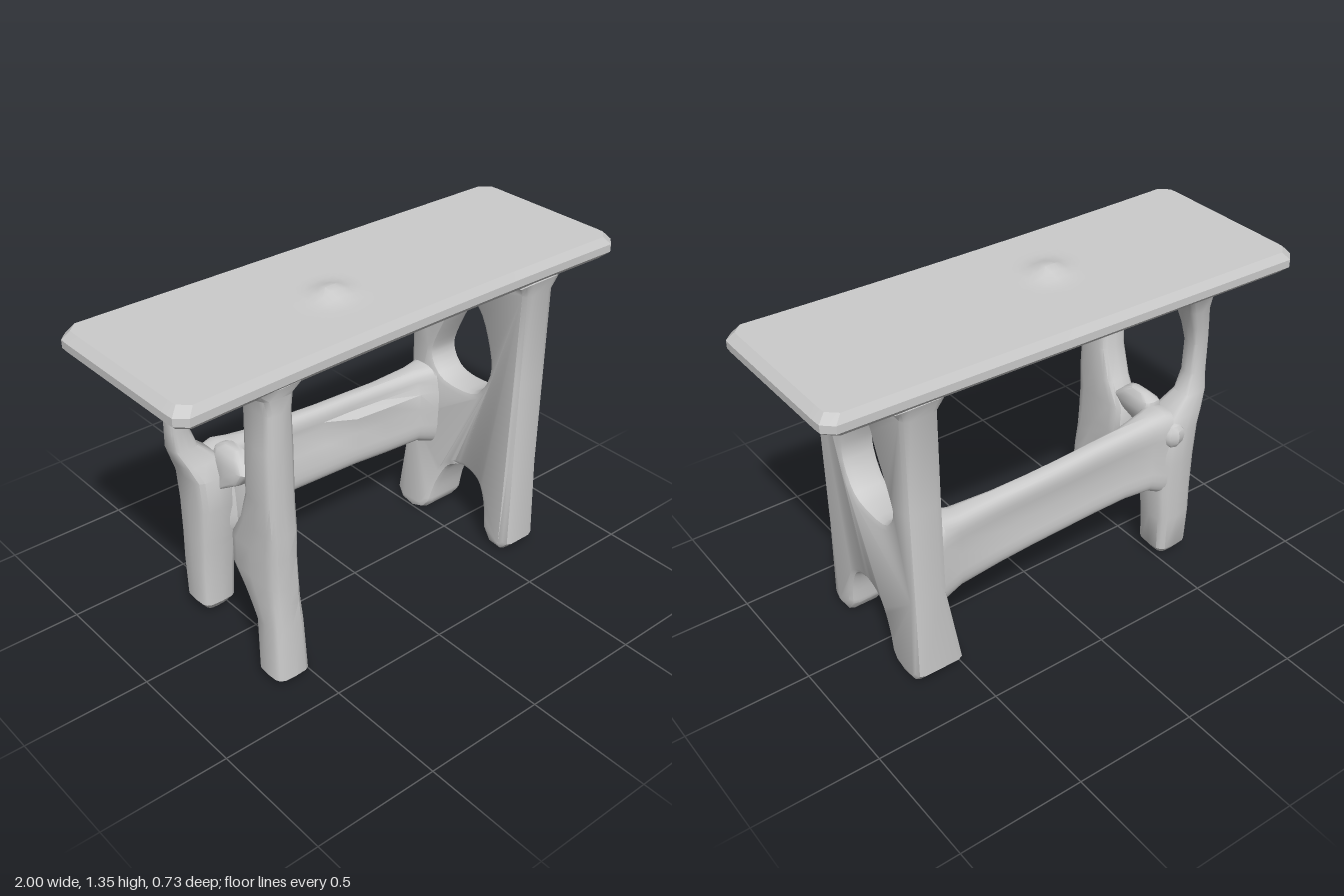
import * as THREE from 'three';
import { toCreasedNormals } from 'three/addons/utils/BufferGeometryUtils.js';

const material = new THREE.MeshStandardMaterial({ color: 0xcccccc, side: THREE.DoubleSide });

function addPart(group, name, geometry, crease = 0.5) {
  const mesh = new THREE.Mesh(toCreasedNormals(geometry, crease), material);
  mesh.name = name;
  group.add(mesh);
}

// Moves every vertex of a geometry by a rule.
function deform(geometry, rule) {
  const p = geometry.attributes.position, v = new THREE.Vector3();
  for (let i = 0; i < p.count; i++) {
    rule(v.fromBufferAttribute(p, i));
    p.setXYZ(i, v.x, v.y, v.z);
  }
  return geometry;
}

// Rounded-rectangle sections [t, aMin, aMax, bMin, bMax] joined along axis t.
// place(a, b, t) returns the world position.
function loft(sections, place, sides = 16) {
  const pos = [], index = [];
  const round = (c) => Math.sign(c) * Math.pow(Math.abs(c), 0.5);
  for (const [t, a0, a1, b0, b1] of sections) {
    for (let i = 0; i < sides; i++) {
      const w = (i / sides) * Math.PI * 2;
      const a = (a0 + a1) / 2 + ((a1 - a0) / 2) * round(Math.cos(w));
      const b = (b0 + b1) / 2 + ((b1 - b0) / 2) * round(Math.sin(w));
      pos.push(...place(a, b, t));
    }
  }
  for (let s = 0; s < sections.length - 1; s++) {
    for (let i = 0; i < sides; i++) {
      const a = s * sides + i, b = s * sides + ((i + 1) % sides);
      index.push(a, b, b + sides, a, b + sides, a + sides);
    }
  }
  const last = (sections.length - 1) * sides;
  for (let i = 1; i < sides - 1; i++) {
    index.push(0, i + 1, i, last, last + i, last + i + 1);
  }
  const g = new THREE.BufferGeometry();
  g.setAttribute('position', new THREE.Float32BufferAttribute(pos, 3));
  g.setIndex(index);
  return g;
}

const upright = (z, x, y) => [x, y, z];
const sideways = (y, z, x) => [x, y, z];
const points = (list) => list.map(([a, b]) => new THREE.Vector2(a, b));

// Worn plank: bevelled rim, clipped corners, slight warp, one swollen knot.
function seatGeometry() {
  return deform(new THREE.BoxGeometry(2, 0.092, 0.72, 48, 3, 20), (v) => {
    const face = Math.abs(v.y) > 0.04;
    const side = Math.sign(v.y);
    const over = Math.abs(v.x) - 0.94 + Math.abs(v.z) - 0.3;
    if (over > 0.08 && Math.abs(v.x) > 0.94 && Math.abs(v.z) > 0.3) {
      v.x -= Math.sign(v.x) * (over - 0.08) / 2;
      v.z -= Math.sign(v.z) * (over - 0.08) / 2;
    }
    if (face) {
      v.x *= 0.972;
      v.z *= side > 0 ? 0.95 : 0.91;
    }
    const dx = v.x + 0.14, dz = v.z - 0.04;
    const knot = Math.exp(-(dx * dx + dz * dz) / 0.004);
    v.z *= v.z < 0 ? 0.98 - 0.05 * v.x : 0.965 + 0.05 * v.x * v.x;
    v.y += 1.276 + 0.008 * v.x;
    if (face) v.y += side * knot * (side > 0 ? 0.032 : 0.012);
  });
}

// Solid end board with a pear-shaped opening and an arched foot.
function endBoardGeometry() {
  const shape = new THREE.Shape(points([
    [0.32, 0.05], [0.31, 0.4], [0.315, 0.8], [0.32, 1.18], [0.335, 1.24],
    [-0.32, 1.24], [-0.3, 1.18], [-0.3, 0.8], [-0.305, 0.4], [-0.305, 0.05],
    [-0.27, 0.01], [-0.2, 0], [-0.14, 0.02], [-0.11, 0.06],
  ]));
  shape.splineThru(points([
    [-0.09, 0.16], [-0.05, 0.25], [0, 0.285], [0.06, 0.29],
    [0.12, 0.26], [0.155, 0.18], [0.17, 0.07],
  ]));
  shape.lineTo(0.21, 0.015);
  shape.lineTo(0.28, 0.01);
  const outline = new THREE.SplineCurve(points([
    [0.01, 1.085], [-0.05, 1.06], [-0.09, 0.96], [-0.16, 0.81], [-0.175, 0.73],
    [-0.12, 0.66], [0, 0.65], [0.09, 0.68], [0.145, 0.79], [0.13, 0.9],
    [0.08, 1.02], [0.01, 1.085],
  ]));
  shape.holes.push(new THREE.Path(outline.getPoints(32).slice(0, -1)));
  const g = new THREE.ExtrudeGeometry(shape, {
    depth: 0.085, steps: 1, curveSegments: 4,
    bevelEnabled: true, bevelThickness: 0.03, bevelSize: 0.025, bevelOffset: -0.025, bevelSegments: 2,
  });
  g.translate(0, 0, -0.0425).rotateY(-Math.PI / 2);
  // The rear foot leans inward; the top spreads into the seat.
  return deform(g, (v) => {
    const foot = Math.max(0, 0.35 - v.y) / 0.35;
    if (v.x < 0) v.x -= (v.z < 0 ? 0.07 : 0.015) * foot;
    if (v.y > 1.2) v.x *= 1.3;
    v.x += 0.633;
  });
}

export function createModel() {
  const group = new THREE.Group();
  group.name = 'bench';

  addPart(group, 'seat', seatGeometry());
  addPart(group, 'endBoard', endBoardGeometry(), 0.6);

  // Sections: y, zMin, zMax, xMin, xMax
  addPart(group, 'frontLeg', loft([
    [0.0, 0.24, 0.32, -0.63, -0.53], [0.03, 0.21, 0.355, -0.655, -0.505],
    [0.25, 0.2, 0.34, -0.65, -0.51], [0.35, 0.13, 0.335, -0.65, -0.515],
    [0.43, 0.06, 0.335, -0.65, -0.515], [0.55, 0.06, 0.335, -0.65, -0.52],
    [0.65, 0.12, 0.335, -0.65, -0.52], [0.78, 0.17, 0.33, -0.655, -0.525],
    [1.0, 0.18, 0.335, -0.655, -0.53], [1.14, 0.17, 0.33, -0.645, -0.53],
    [1.2, 0.16, 0.33, -0.66, -0.52], [1.24, 0.11, 0.34, -0.73, -0.46],
  ], upright), 0.6);

  addPart(group, 'backLeg', loft([
    [0.02, -0.26, -0.17, -0.6, -0.51], [0.06, -0.29, -0.14, -0.63, -0.48],
    [0.22, -0.3, -0.14, -0.63, -0.47], [0.35, -0.3, -0.13, -0.63, -0.46],
    [0.5, -0.305, -0.12, -0.63, -0.46], [0.64, -0.305, -0.12, -0.64, -0.47],
    [0.7, -0.295, -0.15, -0.66, -0.5], [0.77, -0.275, -0.18, -0.685, -0.58],
    [0.85, -0.26, -0.185, -0.69, -0.61], [0.98, -0.26, -0.185, -0.69, -0.615],
    [1.06, -0.27, -0.18, -0.68, -0.595], [1.14, -0.285, -0.17, -0.665, -0.565],
    [1.2, -0.3, -0.15, -0.67, -0.53], [1.24, -0.33, -0.1, -0.72, -0.47],
  ], upright), 0.6);

  // Rear rail: grooved faces and a thin upper edge. Sections: x, yMin, yMax, zMin, zMax
  const rail = loft([
    [-0.54, 0.34, 0.71, -0.295, -0.14], [-0.48, 0.345, 0.73, -0.3, -0.11],
    [-0.42, 0.375, 0.72, -0.285, -0.13], [-0.3, 0.385, 0.705, -0.275, -0.145],
    [-0.15, 0.385, 0.7, -0.275, -0.15], [0, 0.38, 0.69, -0.275, -0.15],
    [0.15, 0.375, 0.685, -0.275, -0.15], [0.3, 0.365, 0.68, -0.275, -0.145],
    [0.48, 0.355, 0.68, -0.285, -0.14], [0.55, 0.33, 0.69, -0.295, -0.12],
    [0.6, 0.31, 0.64, -0.295, -0.12],
  ], sideways, 32);
  deform(rail, (v) => {
    const middle = Math.max(0, 1 - (v.x / 0.6) ** 4);
    const groove = Math.exp(-(((v.y - 0.54) / 0.08) ** 2)) * middle;
    v.z -= Math.sign(v.z + 0.21) * 0.018 * groove;
    if (v.z > -0.21 && v.y > 0.6) v.z -= 0.03 * middle;
  });
  addPart(group, 'rearRail', rail, 0.6);

  // Swollen ledge where the rail meets the split end.
  addPart(group, 'railJoint', loft([
    [0.59, -0.17, -0.12, -0.55, -0.48], [0.65, -0.18, -0.02, -0.545, -0.455],
    [0.7, -0.2, 0.01, -0.54, -0.44], [0.74, -0.19, -0.03, -0.525, -0.45],
    [0.76, -0.15, -0.07, -0.5, -0.465],
  ], upright), 0.8);
  const knob = new THREE.SphereGeometry(1, 8, 6);
  knob.scale(0.05, 0.055, 0.035).translate(-0.51, 0.63, -0.285);
  addPart(group, 'jointKnob', knob);

  return group;
}
